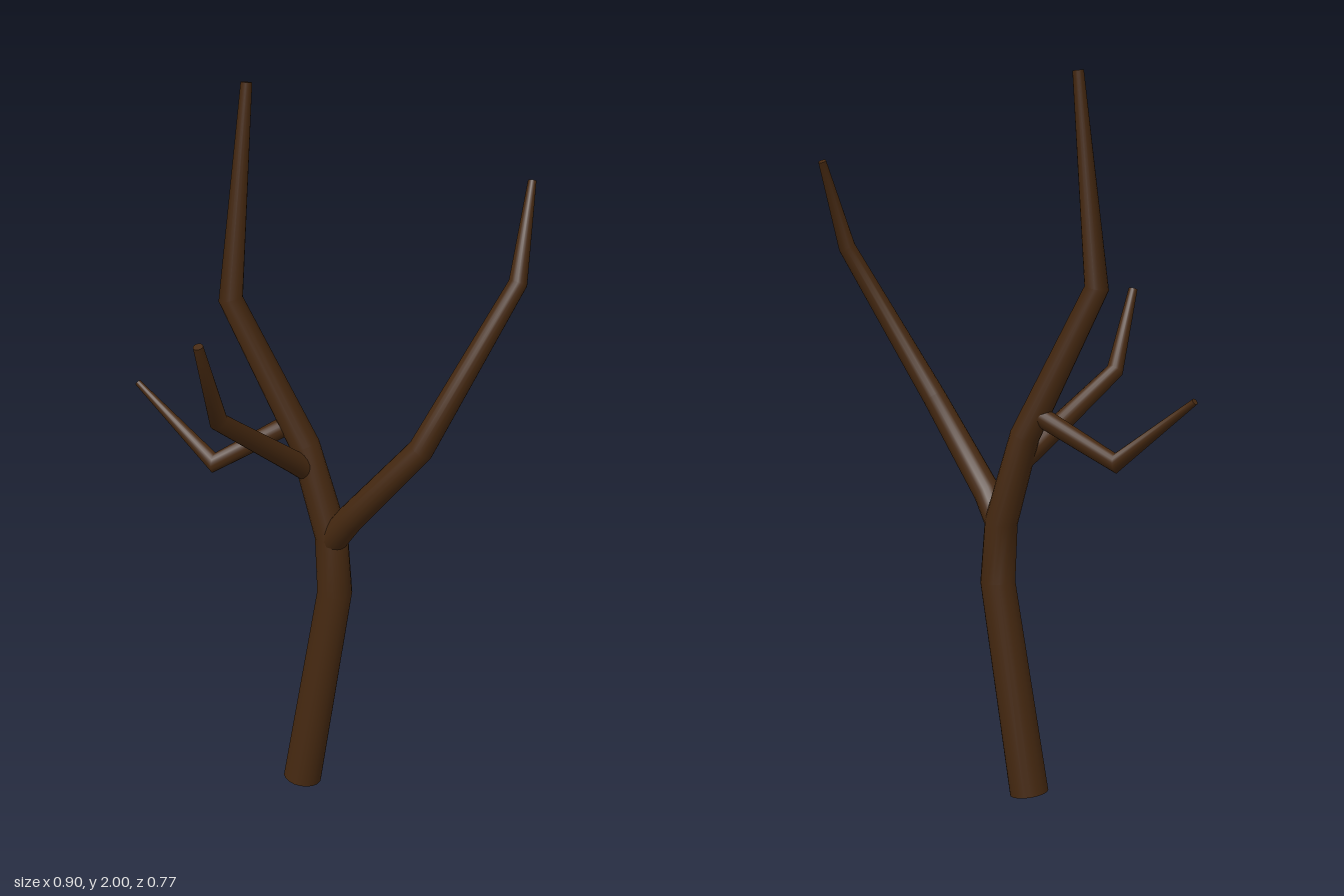
import * as THREE from 'three';

const SIDES = 18;
const bark = new THREE.MeshStandardMaterial({ color: 0x452810, roughness: 1 });

// Tapered limb along a bent path; each point is [x, y, z, radius], joints are mitred, ends capped
function limb(name, points) {
  const centres = points.map(p => new THREE.Vector3(p[0], p[1], p[2]));
  const last = points.length - 1;
  const positions = [], index = [];
  const dirs = centres.slice(1).map((c, i) => c.clone().sub(centres[i]).normalize());
  const side = new THREE.Vector3(1, 0, 0);

  centres.forEach((c, i) => {
    const a = dirs[Math.max(i - 1, 0)], b = dirs[Math.min(i, last - 1)];
    const tangent = a.clone().add(b).normalize();
    // carry the frame along so the skin does not twist
    side.addScaledVector(tangent, -side.dot(tangent)).normalize();
    const up = new THREE.Vector3().crossVectors(tangent, side);
    // widen the ring in the bend plane to keep the limb's thickness
    const bend = b.clone().sub(a);
    const stretch = 1 / Math.max(tangent.dot(a), 0.7) - 1;
    if (bend.length() > 1e-4) bend.normalize();
    for (let j = 0; j <= SIDES; j++) {
      const t = j / SIDES * Math.PI * 2;
      const v = side.clone().multiplyScalar(Math.cos(t)).addScaledVector(up, Math.sin(t));
      v.addScaledVector(bend, v.dot(bend) * stretch);
      v.multiplyScalar(points[i][3]).add(c);
      positions.push(v.x, v.y, v.z);
    }
  });

  const row = SIDES + 1;
  for (let i = 0; i < last; i++) {
    for (let j = 0; j < SIDES; j++) {
      const a = i * row + j, b = a + 1, c = a + row, d = c + 1;
      index.push(a, b, d, a, d, c);
    }
  }
  // flat caps with their own vertices
  for (const [ring, flip] of [[0, true], [last, false]]) {
    const start = positions.length / 3;
    positions.push(...centres[ring].toArray());
    positions.push(...positions.slice(ring * row * 3, (ring + 1) * row * 3));
    for (let j = 1; j <= SIDES; j++) {
      index.push(start, start + (flip ? j + 1 : j), start + (flip ? j : j + 1));
    }
  }

  const geometry = new THREE.BufferGeometry();
  geometry.setAttribute('position', new THREE.Float32BufferAttribute(positions, 3));
  geometry.setIndex(index);
  geometry.computeVertexNormals();
  // match normals across the seam
  const n = geometry.attributes.normal;
  for (let i = 0; i <= last; i++) {
    const s = i * row, e = s + SIDES;
    const v = new THREE.Vector3().fromBufferAttribute(n, s)
      .add(new THREE.Vector3().fromBufferAttribute(n, e)).normalize();
    n.setXYZ(s, v.x, v.y, v.z);
    n.setXYZ(e, v.x, v.y, v.z);
  }
  const mesh = new THREE.Mesh(geometry, bark);
  mesh.name = name;
  return mesh;
}

export function createModel() {
  const tree = new THREE.Group();
  tree.name = 'bareTree';
  tree.add(
    // trunk, running on into the tallest limb
    limb('trunk', [
      [-0.08, 0.007, -0.022, 0.055], [-0.003, 0.61, 0.036, 0.049], [-0.012, 0.78, 0.033, 0.046],
      [-0.062, 1.03, -0.032, 0.041], [-0.232, 1.435, -0.133, 0.032], [-0.175, 2.0, -0.138, 0.015],
    ]),
    // long limb reaching forward and left
    limb('frontLeftBranch', [
      [-0.012, 0.77, 0.04, 0.041], [0.01, 0.85, 0.105, 0.039], [0.12, 1.1, 0.305, 0.034],
      [0.36, 1.53, 0.357, 0.024], [0.438, 1.77, 0.275, 0.011],
    ]),
    // short limb on the right, reaching forward
    limb('frontRightBranch', [
      [-0.05, 0.955, -0.02, 0.032], [-0.11, 1.0, 0.0, 0.031],
      [-0.365, 1.185, 0.116, 0.024], [-0.438, 1.41, 0.183, 0.013],
    ]),
    // short limb on the right, dipping and reaching back
    limb('backRightBranch', [
      [-0.085, 1.095, -0.055, 0.028], [-0.28, 0.967, -0.165, 0.023], [-0.423, 1.157, -0.378, 0.009],
    ]),
  );
  return tree;
}
